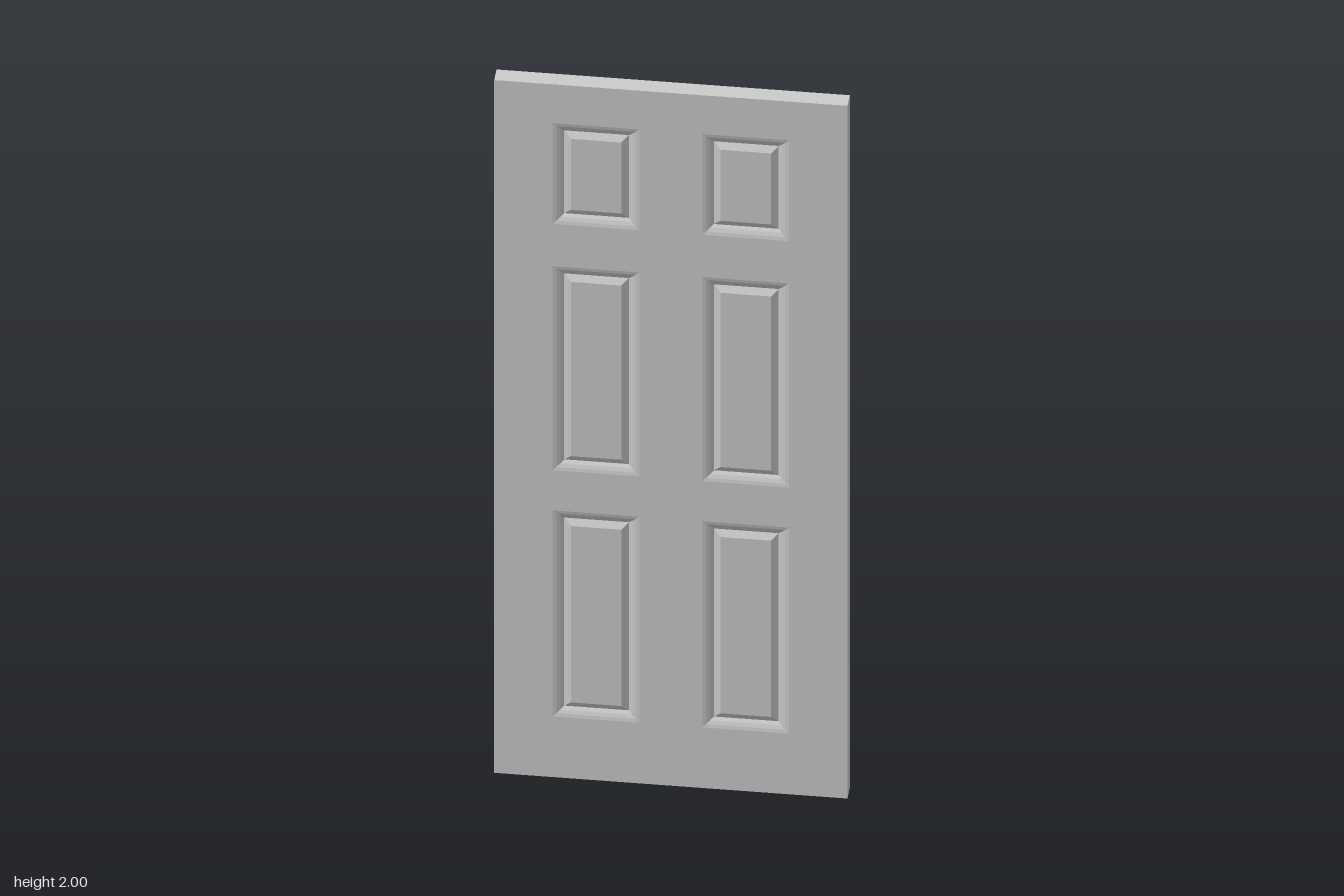
import * as THREE from 'three';

const W = 0.84, H = 2, T = 0.022; // width, height, half thickness
const PANEL_X = 0.178, PANEL_W = 0.206;
const PANEL_ROWS = [[0.175, 0.77], [0.886, 1.475], [1.597, 1.888]]; // bottom, top

// [inset, depth]: cove falling to a valley, then a bevel up to the raised field
const MOULDING = [[0, 0], [0.009, -0.002], [0.018, -0.006], [0.026, -0.011], [0.043, -0.002]];

const corners = (cx, cy, w, h) => [[-1, -1], [1, -1], [1, 1], [-1, 1]]
  .map(([sx, sy]) => [cx + sx * w / 2, cy + sy * h / 2]);

// Rectangular rings joined by mitred strips, with an optional cap on the last ring
function rectLoft(cx, cy, w, h, profile, capped) {
  const rings = profile.map(([inset, z]) =>
    corners(cx, cy, w - 2 * inset, h - 2 * inset).map(([x, y]) => [x, y, z]));
  const pos = [];
  const quad = (a, b, c, d) => pos.push(...a, ...b, ...c, ...a, ...c, ...d);
  for (let r = 0; r < rings.length - 1; r++) {
    for (let i = 0; i < 4; i++) {
      const j = (i + 1) % 4;
      quad(rings[r][i], rings[r][j], rings[r + 1][j], rings[r + 1][i]);
    }
  }
  if (capped) quad(...rings[rings.length - 1]);
  const geo = new THREE.BufferGeometry();
  geo.setAttribute('position', new THREE.Float32BufferAttribute(pos, 3));
  geo.computeVertexNormals();
  return geo;
}

export function createModel() {
  const door = new THREE.Group();
  door.name = 'door';
  const material = new THREE.MeshStandardMaterial({ color: 0xcccccc });
  const add = (parent, name, geo) => {
    const mesh = new THREE.Mesh(geo, material);
    mesh.name = name;
    parent.add(mesh);
  };

  const panels = PANEL_ROWS.flatMap(([y0, y1]) =>
    [-1, 1].map(s => [s * PANEL_X, (y0 + y1) / 2, PANEL_W, y1 - y0]));

  // Flat stiles and rails, open where the panels sit
  const outline = corners(0, H / 2, W, H).map(p => new THREE.Vector2(...p));
  const shape = new THREE.Shape(outline);
  for (const p of panels) {
    shape.holes.push(new THREE.Path(corners(...p).map(c => new THREE.Vector2(...c)).reverse()));
  }
  const frameGeo = new THREE.ShapeGeometry(shape);
  const panelGeos = panels.map(p => rectLoft(...p, MOULDING, true));

  // The same moulded face on both sides
  for (const [name, angle] of [['frontFace', 0], ['backFace', Math.PI]]) {
    const face = new THREE.Group();
    face.name = name;
    add(face, 'stilesAndRails', frameGeo);
    panelGeos.forEach(geo => add(face, 'raisedPanel', geo));
    face.rotation.y = angle;
    face.position.z = angle ? -T : T;
    door.add(face);
  }

  // Narrow edges around the slab
  add(door, 'slabEdges', rectLoft(0, H / 2, W, H, [[0, -T], [0, T]], false));
  return door;
}
